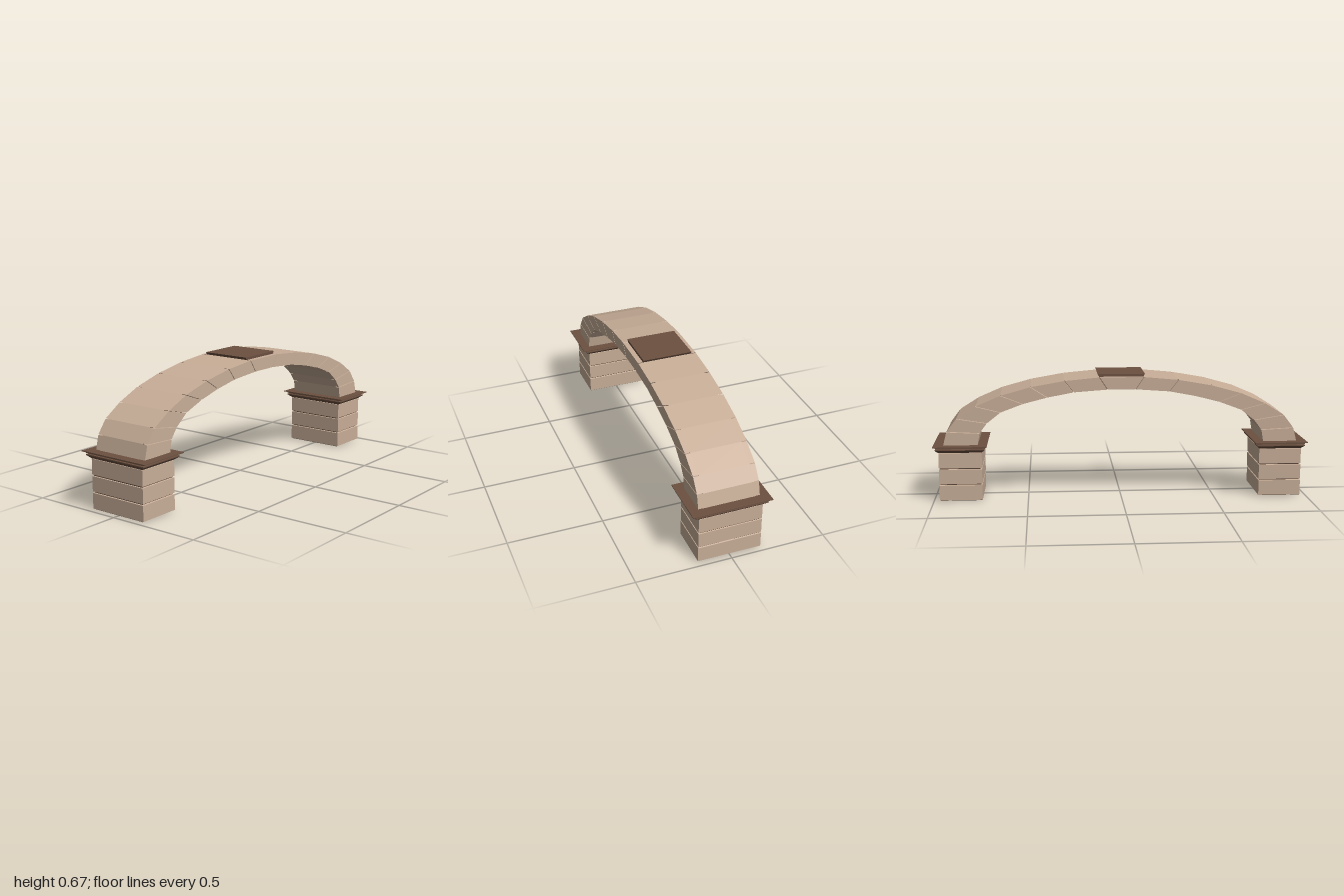
import * as THREE from 'three';

const stone = new THREE.MeshStandardMaterial({ color: 0xc8ae98, flatShading: true });
const wood = new THREE.MeshStandardMaterial({ color: 0x6b5040, flatShading: true });
const mortar = new THREE.MeshStandardMaterial({ color: 0x5c4638, flatShading: true });

const PIER_X = 0.856, RATIO = 0.68; // pier centre, and its width relative to its depth
const CORE = 0.134, FACE = 0.161;   // half depths of the arch core and its outer faces

function add(parent, name, geometry, material) {
  const mesh = new THREE.Mesh(geometry, material);
  mesh.name = name;
  parent.add(mesh);
  return mesh;
}

// Four-sided moulding: profile of [half depth, height] swept around a rectangle
function moulding(profile) {
  const pts = profile.map(([r, y]) => new THREE.Vector2(r * Math.SQRT2, y));
  return new THREE.LatheGeometry(pts, 4, Math.PI / 4).scale(RATIO, 1, 1);
}

// Flat outline in x, y extruded between two depths
function slab(points, z0, z1) {
  const shape = new THREE.Shape(points.map(([x, y]) => new THREE.Vector2(x, y)));
  return new THREE.ExtrudeGeometry(shape, { depth: z1 - z0, bevelEnabled: false }).translate(0, 0, z0);
}

const mix = (a, b, t) => [a[0] + (b[0] - a[0]) * t, a[1] + (b[1] - a[1]) * t];
const mirrored = (pts) => [...pts.map(([x, y]) => [-x, y]), ...pts.slice().reverse()];

function makePier() {
  const pier = new THREE.Group();
  // Three stone courses, the lowest hollowed from below
  add(pier, 'bottomCourse', moulding([
    [0, 0.08], [0.093, 0.08], [0.093, 0.006], [0.11, 0.004], [0.11, 0], [0.157, 0],
    [0.167, 0.005], [0.167, 0.085], [0.157, 0.088], [0, 0.088]]), stone);
  add(pier, 'baseRecess', moulding([[0.092, 0.004], [0.111, 0.002]]), mortar);
  for (const [y0, y1] of [[0.09, 0.173], [0.176, 0.262]]) {
    add(pier, 'stoneCourse', moulding([
      [0, y0], [0.157, y0], [0.167, y0 + 0.003], [0.167, y1 - 0.002], [0.157, y1], [0, y1]]), stone);
  }
  // Dark joints between the courses
  for (const y of [0.085, 0.171]) {
    add(pier, 'mortarJoint', moulding([[0.159, y], [0.159, y + 0.008]]), mortar);
  }
  // Stepped cap with a flared underside
  add(pier, 'pierCap', moulding([
    [0, 0.262], [0.167, 0.262], [0.19, 0.278], [0.19, 0.283], [0.175, 0.284], [0.175, 0.288],
    [0.191, 0.289], [0.191, 0.294], [0.208, 0.296], [0.208, 0.3], [0, 0.3]]), wood);
  return pier;
}

function makeArch() {
  const arch = new THREE.Group();
  arch.name = 'arch';
  // Joint ends on the outer and inner curves, from springing to keystone
  const outer = mirrored([[0.944, 0.299], [0.925, 0.373], [0.872, 0.443], [0.77, 0.507],
    [0.64, 0.563], [0.48, 0.607], [0.302, 0.638], [0.118, 0.655]]);
  const inner = mirrored([[0.763, 0.299], [0.752, 0.364], [0.712, 0.417], [0.64, 0.474],
    [0.522, 0.518], [0.393, 0.551], [0.254, 0.577], [0.075, 0.59]]);

  // Core: dark ends show through the joints of the face stones
  add(arch, 'archCore', slab([...outer, ...inner.slice().reverse()], -CORE, CORE), [mortar, stone]);

  // Face stones at front and back, parted by narrow joints
  for (let i = 0; i < outer.length - 1; i++) {
    const [a, b, c, d] = [outer[i], outer[i + 1], inner[i + 1], inner[i]];
    const t = 0.0022 / Math.hypot(b[0] - a[0], b[1] - a[1]);
    const s = 0.0022 / Math.hypot(c[0] - d[0], c[1] - d[1]);
    const quad = [mix(a, b, t), mix(b, a, t), mix(c, d, s), mix(d, c, s)];
    const name = i === 7 ? 'keystoneFace' : 'archStone';
    add(arch, name, slab(quad, CORE, FACE), stone);
    add(arch, name, slab(quad, -FACE, -CORE), stone);
  }

  // Flared plate on top of the keystone
  add(arch, 'keystoneCap',
    slab([[-0.117, 0.654], [0.117, 0.654], [0.126, 0.669], [-0.126, 0.669]], -CORE, CORE), wood);
  return arch;
}

export function createModel() {
  const model = new THREE.Group();
  model.name = 'stoneArch';
  for (const [name, side] of [['leftPier', 1], ['rightPier', -1]]) {
    const pier = makePier();
    pier.name = name;
    pier.position.x = side * PIER_X;
    model.add(pier);
  }
  model.add(makeArch());
  return model;
}
